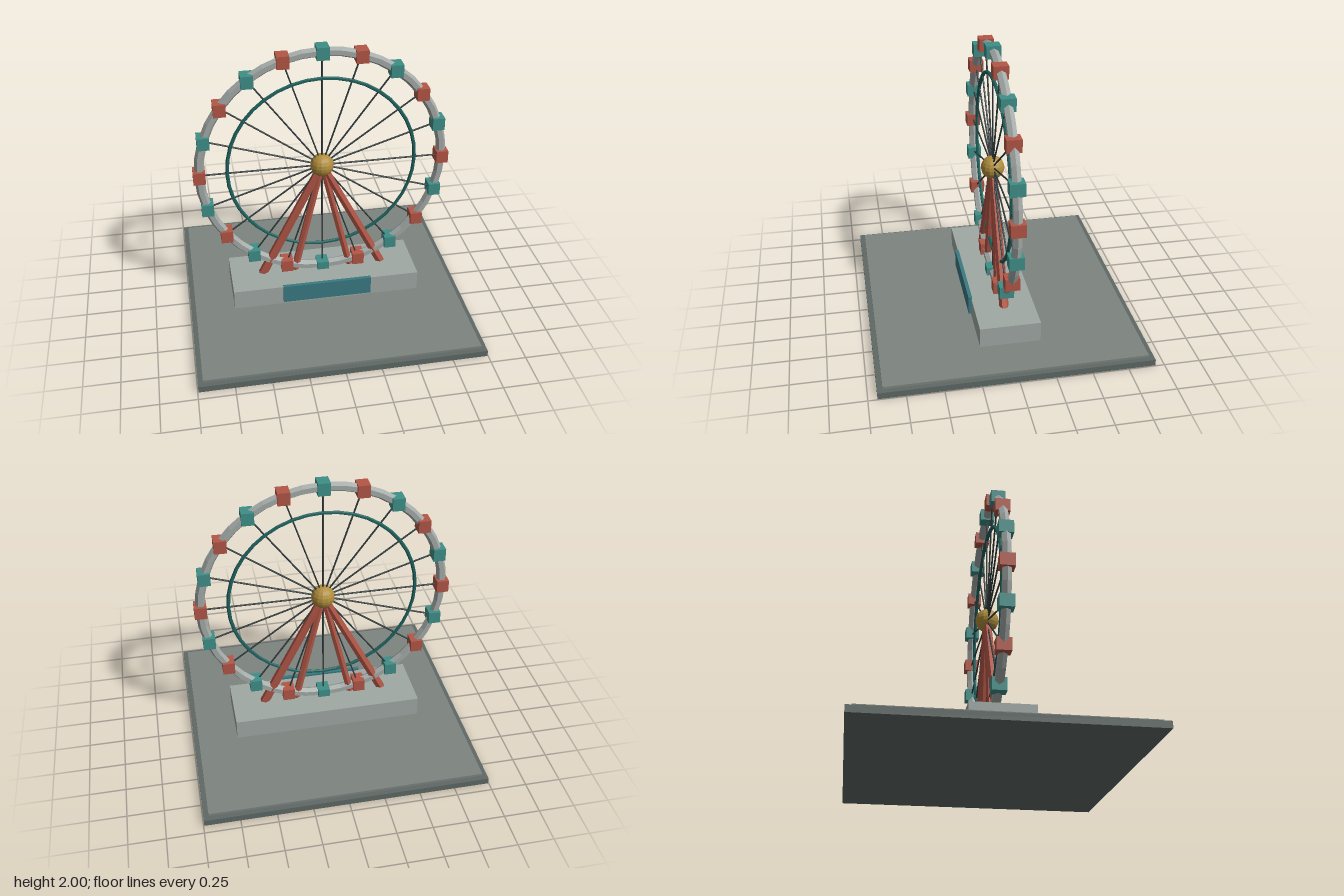
import * as THREE from 'three';

const HUB_Y = 1.096, RADIUS = 0.857, CABINS = 20;

const mat = (color) => new THREE.MeshStandardMaterial({ color, flatShading: true });
const colors = {
  base: mat(0x5f6966), slab: mat(0x7d857f), platform: mat(0xa0a8a4), panel: mat(0x3a7a82),
  rim: mat(0xa3aaa7), ring: mat(0x1f625f), spoke: mat(0x333d3f),
  red: mat(0xb25646), teal: mat(0x3f8f88), gold: mat(0xb08d3c),
};

export function createModel() {
  const model = new THREE.Group();
  model.name = 'ferrisWheel';

  const add = (parent, name, geometry, material, x = 0, y = 0, z = 0) => {
    const mesh = new THREE.Mesh(geometry, material);
    mesh.name = name;
    mesh.position.set(x, y, z);
    parent.add(mesh);
    return mesh;
  };
  const box = (name, w, y0, y1, d, material, z = 0) =>
    add(model, name, new THREE.BoxGeometry(w, y1 - y0, d), material, 0, (y0 + y1) / 2, z);
  // Round bar between two points
  const bar = (parent, name, a, b, r0, r1, sides, material) => {
    const dir = b.clone().sub(a);
    const mesh = add(parent, name, new THREE.CylinderGeometry(r1, r0, dir.length(), sides), material);
    mesh.position.copy(a).addScaledVector(dir, 0.5);
    mesh.quaternion.setFromUnitVectors(new THREE.Vector3(0, 1, 0), dir.normalize());
  };

  // Ground plinth, boarding platform and front panel
  box('base', 1.99, 0, 0.046, 1.875, colors.base);
  box('baseTop', 1.92, 0.046, 0.064, 1.8, colors.slab);
  box('platform', 1.36, 0.074, 0.222, 0.424, colors.platform);
  box('frontPanel', 0.645, 0.1, 0.236, 0.026, colors.panel, 0.22);

  // Support legs, mirrored left and right
  for (const side of [-1, 1]) {
    const top = new THREE.Vector3(0, HUB_Y, 0);
    bar(model, 'outerLeg', new THREE.Vector3(side * 0.45, 0.2, 0), top, 0.034, 0.028, 6, colors.red);
    bar(model, 'innerLeg', new THREE.Vector3(side * 0.21, 0.2, 0), top, 0.028, 0.023, 6, colors.red);
  }

  // Wheel: rim, inner ring, hub
  const wheel = new THREE.Group();
  wheel.name = 'wheel';
  wheel.position.y = HUB_Y;
  model.add(wheel);
  add(wheel, 'rim', new THREE.TorusGeometry(RADIUS, 0.034, 6, 40), colors.rim);
  add(wheel, 'innerRing', new THREE.TorusGeometry(0.664, 0.013, 6, 40), colors.ring);
  add(wheel, 'hub', new THREE.SphereGeometry(0.083, 14, 10), colors.gold);

  // Spokes with upright cabins in alternating colours
  for (let i = 0; i < CABINS; i++) {
    const a = (i / CABINS) * Math.PI * 2;
    const end = new THREE.Vector3(Math.cos(a) * RADIUS, Math.sin(a) * RADIUS, 0);
    bar(wheel, 'spoke', new THREE.Vector3(), end, 0.006, 0.006, 6, colors.spoke);
    add(wheel, 'cabin', new THREE.BoxGeometry(0.085, 0.09, 0.1),
      i % 2 ? colors.teal : colors.red, end.x, end.y, 0);
  }
  return model;
}
